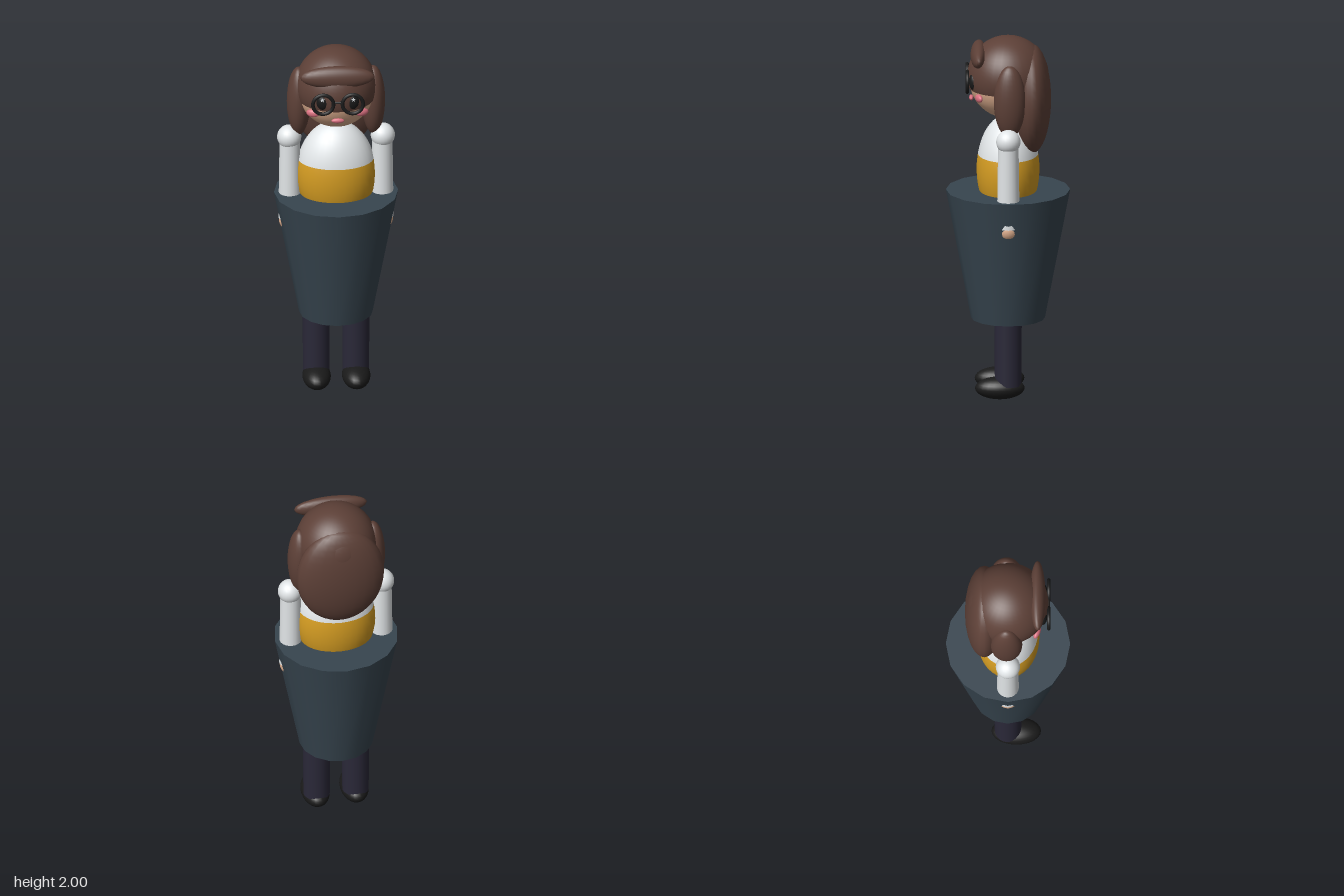
import * as THREE from 'three';

const mat = (name, color, side = THREE.FrontSide) => {
  const m = new THREE.MeshStandardMaterial({ color, side });
  m.name = name;
  return m;
};

export function createModel() {
  const model = new THREE.Group();
  model.name = 'figure';

  const hair = mat('brown hair', 0x5d4037, THREE.DoubleSide);
  const skin = mat('skin', 0xe0b090);
  const white = mat('white blouse', 0xe4e8ea, THREE.DoubleSide);
  const gold = mat('gold waist', 0xd49c22, THREE.DoubleSide);
  const slate = mat('slate skirt', 0x37454f);
  const navy = mat('navy stockings', 0x2a2838);
  const black = mat('black', 0x1a1a1a);
  const pink = mat('pink', 0xd9707f);

  const add = (name, geometry, material, x, y, z, parent = model) => {
    const mesh = new THREE.Mesh(geometry, material);
    mesh.name = name;
    mesh.position.set(x, y, z);
    parent.add(mesh);
    return mesh;
  };
  // Ellipsoid with half-sizes rx, ry, rz, optionally only a band of it
  const ellipsoid = (rx, ry, rz, w = 24, h = 16, t0 = 0, t1 = Math.PI) =>
    new THREE.SphereGeometry(1, w, h, 0, Math.PI * 2, t0, t1 - t0).scale(rx, ry, rz);

  // Skirt: closed 16-sided cone
  add('skirt', new THREE.CylinderGeometry(0.336, 0.2, 0.715, 16), slate, 0, 0.7875, 0);

  // Egg-shaped body, white above the waistline and gold below
  const waist = Math.acos(0.085 / 0.3);
  add('blouse', ellipsoid(0.215, 0.3, 0.17, 32, 12, 0, waist), white, 0, 1.26, 0);
  add('waist', ellipsoid(0.215, 0.3, 0.17, 32, 12, waist, Math.PI), gold, 0, 1.26, 0);

  // Head and hair
  add('head', ellipsoid(0.21, 0.21, 0.21, 32, 24), skin, 0, 1.76, 0);
  add('hairCap', ellipsoid(0.22, 0.22, 0.22, 32, 18, 0, Math.acos(-0.3)), hair, 0, 1.78, 0);
  add('backHair', ellipsoid(0.24, 0.3, 0.105, 24, 20), hair, 0, 1.65, -0.128);
  const fringe = add('fringe', ellipsoid(0.2, 0.062, 0.042, 24, 16), hair, 0, 1.9, 0.16);
  fringe.rotation.x = -0.15;

  // Mouth and glasses bridge
  add('mouth', ellipsoid(0.035, 0.014, 0.012), pink, 0, 1.658, 0.198);
  add('glassesBridge', new THREE.CylinderGeometry(0.007, 0.007, 0.045, 8).rotateZ(Math.PI / 2),
    black, 0, 1.775, 0.22);

  // Five-pointed sparkle for the eyes
  const star = new THREE.Shape();
  for (let i = 0; i < 10; i++) {
    const r = i % 2 ? 0.006 : 0.014, a = Math.PI / 2 + (i * Math.PI) / 5;
    star[i ? 'lineTo' : 'moveTo'](r * Math.cos(a), r * Math.sin(a));
  }
  star.closePath();
  const sparkle = new THREE.ShapeGeometry(star);

  // Everything that comes in pairs
  for (const s of [1, -1]) {
    const side = s > 0 ? 'left' : 'right';
    const part = (name, geometry, material, x, y, z) =>
      add(side + name, geometry, material, s * x, y, z);

    part('HairLock', ellipsoid(0.064, 0.2, 0.086, 24, 18), hair, 0.202, 1.685, -0.008);

    part('Eye', ellipsoid(0.038, 0.05, 0.03), black, 0.078, 1.768, 0.182);
    part('EyeSparkle', sparkle, white, 0.084, 1.788, 0.212);
    part('GlassesRim', new THREE.TorusGeometry(0.056, 0.01, 10, 32), black, 0.08, 1.766, 0.22);
    const cheek = part('Cheek', ellipsoid(0.036, 0.022, 0.016), pink, 0.134, 1.687, 0.158);
    cheek.rotation.y = s * 0.4;

    part('Shoulder', ellipsoid(0.066, 0.066, 0.066), white, 0.253, 1.475, 0);
    part('Sleeve', new THREE.CylinderGeometry(0.055, 0.062, 0.48, 20), white, 0.25, 1.235, 0);
    part('Hand', ellipsoid(0.059, 0.059, 0.059), skin, 0.25, 0.98, 0);

    part('Leg', new THREE.CylinderGeometry(0.074, 0.072, 0.42, 20), navy, 0.107, 0.29, 0);
    part('Shoe', ellipsoid(0.077, 0.061, 0.134), black, 0.107, 0.063, 0.045);
  }

  return model;
}
